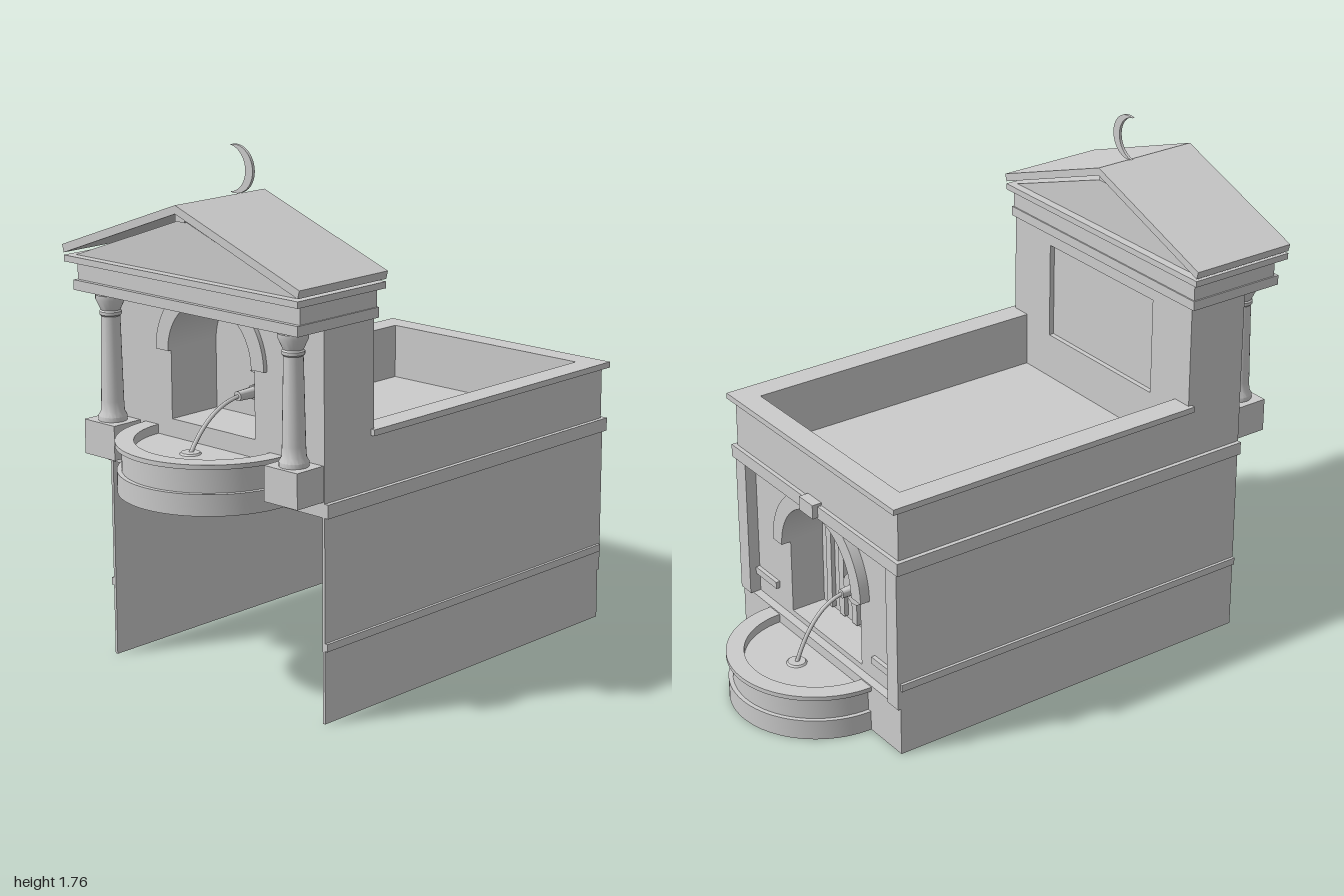
import * as THREE from 'three';
import { toCreasedNormals } from 'three/addons/utils/BufferGeometryUtils.js';

const grey = new THREE.MeshStandardMaterial({ color: 0xcccccc, side: THREE.DoubleSide });

export function createModel() {
  const model = new THREE.Group();

  function add(name, geometry, parent = model) {
    const mesh = new THREE.Mesh(geometry, grey);
    mesh.name = name;
    parent.add(mesh);
    return mesh;
  }
  // Box given by its limits on each axis
  function box(name, x0, x1, y0, y1, z0, z1, parent) {
    const g = new THREE.BoxGeometry(x1 - x0, y1 - y0, z1 - z0);
    g.translate((x0 + x1) / 2, (y0 + y1) / 2, (z0 + z1) / 2);
    return add(name, g, parent);
  }
  // Shape extruded from z0 to z1
  function slab(name, shape, z0, z1) {
    const g = new THREE.ExtrudeGeometry(shape, { depth: z1 - z0, bevelEnabled: false, curveSegments: 24 });
    g.translate(0, 0, z0);
    return add(name, toCreasedNormals(g, 0.5));
  }
  const polygon = (...pts) => new THREE.Shape(pts.map(([x, y]) => new THREE.Vector2(x, y)));
  const rect = (w, y0, y1) => polygon([-w, y0], [w, y0], [w, y1], [-w, y1]);
  // Round-headed opening of half width r
  function arch(r, y0, spring) {
    const s = new THREE.Shape();
    s.moveTo(-r, y0);
    s.lineTo(r, y0);
    s.lineTo(r, spring);
    s.absarc(0, spring, r, 0, Math.PI, false);
    s.closePath();
    return s;
  }
  function archBand(r0, r1, spring) {
    const s = new THREE.Shape();
    s.absarc(0, spring, r1, 0, Math.PI, false);
    s.absarc(0, spring, r0, Math.PI, 0, true);
    s.closePath();
    return s;
  }
  // Crescent opening to the right's opposite side, of outer radius r
  function crescent(cy, r) {
    const s = new THREE.Shape();
    const a = 1.85, tipX = r * Math.cos(a), tipY = r * Math.sin(a);
    const cx = -0.38 * r, ri = Math.hypot(tipX - cx, tipY), b = Math.atan2(tipY, tipX - cx);
    s.absarc(0, cy, r, -a, a, false);
    s.absarc(cx, cy, ri, b, -b, true);
    s.closePath();
    return s;
  }

  // Side walls, bands, tank walls and rim
  for (const s of [-1, 1]) {
    const side = (name, a, b, ...rest) => box(name, Math.min(s * a, s * b), Math.max(s * a, s * b), ...rest);
    side('sideWall', 0.47, 0.48, 0, 0.89, -0.69, 0.69);
    side('lowerBand', 0.48, 0.49, 0.24, 0.265, -0.69, 0.69);
    side('upperBand', 0.48, 0.495, 0.67, 0.715, -0.705, 0.69);
    side('tankWall', 0.41, 0.475, 0.71, 0.89, -0.69, 0.48);
    side('tankRim', 0.41, 0.495, 0.89, 0.91, -0.715, 0.48);
    side('backPilaster', 0.42, 0.48, 0.17, 0.67, -0.7, -0.66);
    side('backBand', 0.29, 0.42, 0.24, 0.265, -0.675, -0.66);
  }
  box('tankFloor', -0.475, 0.475, 0.705, 0.72, -0.685, 0.48);
  box('tankBackWall', -0.475, 0.475, 0.67, 0.89, -0.69, -0.635);
  box('tankBackRim', -0.41, 0.41, 0.89, 0.91, -0.715, -0.635);
  box('backCornice', -0.48, 0.48, 0.67, 0.715, -0.705, -0.69);
  box('keystone', -0.04, 0.04, 0.675, 0.725, -0.725, -0.69);

  // Back wall with its niche
  box('backPlinth', -0.48, 0.48, 0, 0.17, -0.69, -0.65);
  const backWall = rect(0.475, 0.17, 0.7);
  backWall.holes.push(arch(0.21, 0.19, 0.455));
  slab('backWall', backWall, -0.66, -0.65);
  const nicheShell = arch(0.214, 0.186, 0.455);
  nicheShell.holes.push(arch(0.21, 0.19, 0.455));
  slab('backNicheShell', nicheShell, -0.66, -0.53);
  slab('backNichePanel', arch(0.212, 0.188, 0.455), -0.535, -0.53);
  slab('backArchTrim', archBand(0.21, 0.265, 0.455), -0.695, -0.66);
  for (let i = -2; i <= 2; i++) box('nicheSlat', i * 0.075 - 0.015, i * 0.075 + 0.015, 0.2, 0.5, -0.55, -0.535);

  // Front block with arched niche and a shallow rear recess
  const frontWall = rect(0.48, 0.67, 1.28);
  frontWall.holes.push(arch(0.185, 0.865, 1.09));
  slab('frontBlock', frontWall, 0.49, 0.69);
  const rearWall = rect(0.48, 0.67, 1.28);
  rearWall.holes.push(rect(0.28, 0.88, 1.22));
  slab('frontBlockRear', rearWall, 0.466, 0.49);
  box('nichePanel', -0.29, 0.29, 0.86, 1.28, 0.484, 0.49);
  slab('frontArchTrim', archBand(0.185, 0.24, 1.09), 0.69, 0.705);
  slab('nicheCrescent', crescent(1.1, 0.088), 0.49, 0.5);

  // Columns on pedestals
  const columnProfile = [[0, 0.835], [0.047, 0.835], [0.047, 0.85], [0.039, 0.865], [0.037, 0.9], [0.031, 1.18],
    [0.036, 1.185], [0.036, 1.195], [0.032, 1.2], [0.048, 1.235], [0.048, 1.25], [0.04, 1.25], [0.04, 1.265]]
    .map(([x, y]) => new THREE.Vector2(x, y));
  for (const s of [-1, 1]) {
    const x = s * 0.405;
    box('pedestal', x - 0.07, x + 0.07, 0.72, 0.835, 0.685, 0.805);
    add('column', toCreasedNormals(new THREE.LatheGeometry(columnProfile, 24), 0.5)).position.set(x, 0, 0.745);
  }

  // Entablature and gabled roof
  box('architrave', -0.495, 0.495, 1.262, 1.295, 0.46, 0.82);
  box('frieze', -0.49, 0.49, 1.295, 1.355, 0.465, 0.805);
  box('cornice', -0.515, 0.515, 1.355, 1.376, 0.45, 0.84);
  slab('tympanum', polygon([-0.49, 1.376], [0.49, 1.376], [0, 1.552]), 0.48, 0.81);
  slab('roof', polygon([-0.522, 1.41], [-0.515, 1.384], [0, 1.573], [0.515, 1.384], [0.522, 1.41], [0, 1.6]), 0.45, 0.84);
  box('ridgeBlock', -0.02, 0.02, 1.545, 1.575, 0.47, 0.82);
  slab('roofCrescent', crescent(1.68, 0.077), 0.57, 0.58);

  // Half-round basin with spout and water jet, used at front and back
  const basinProfile = [[0, 0], [0.305, 0], [0.305, 0.07], [0.29, 0.07], [0.29, 0.15], [0.31, 0.15],
    [0.31, 0.165], [0.25, 0.165], [0.25, 0.135], [0, 0.135]].map(([x, y]) => new THREE.Vector2(x, y));
  function fountain(name, y, spoutY, spoutZ, wallZ, bossRadius, endZ) {
    const group = new THREE.Group();
    group.name = name;
    const basin = new THREE.LatheGeometry(basinProfile, 40, -Math.PI / 2, Math.PI);
    add('basin', toCreasedNormals(basin, 0.5), group).position.set(0, y, 0.69);
    const boss = new THREE.CylinderGeometry(bossRadius, bossRadius, 0.02, 20).rotateX(Math.PI / 2);
    add('spoutBoss', toCreasedNormals(boss, 0.5), group).position.set(0, spoutY, wallZ + 0.01);
    const pipe = new THREE.CylinderGeometry(0.016, 0.02, spoutZ - wallZ, 12).rotateX(Math.PI / 2);
    add('spout', toCreasedNormals(pipe, 0.6), group).position.set(0, spoutY, (spoutZ + wallZ) / 2);
    const path = new THREE.QuadraticBezierCurve3(
      new THREE.Vector3(0, spoutY, spoutZ - 0.01),
      new THREE.Vector3(0, spoutY - 0.01, spoutZ + (endZ - spoutZ) * 0.6),
      new THREE.Vector3(0, y + 0.135, endZ));
    add('waterJet', new THREE.TubeGeometry(path, 16, 0.007, 8), group);
    add('splash', new THREE.CylinderGeometry(0.03, 0.035, 0.006, 16), group).position.set(0, y + 0.138, endZ);
    model.add(group);
    return group;
  }
  fountain('frontFountain', 0.67, 0.95, 0.58, 0.49, 0.024, 0.79);
  fountain('backFountain', 0, 0.335, 0.6, 0.535, 0.055, 0.78).rotation.y = Math.PI;

  return model;
}
